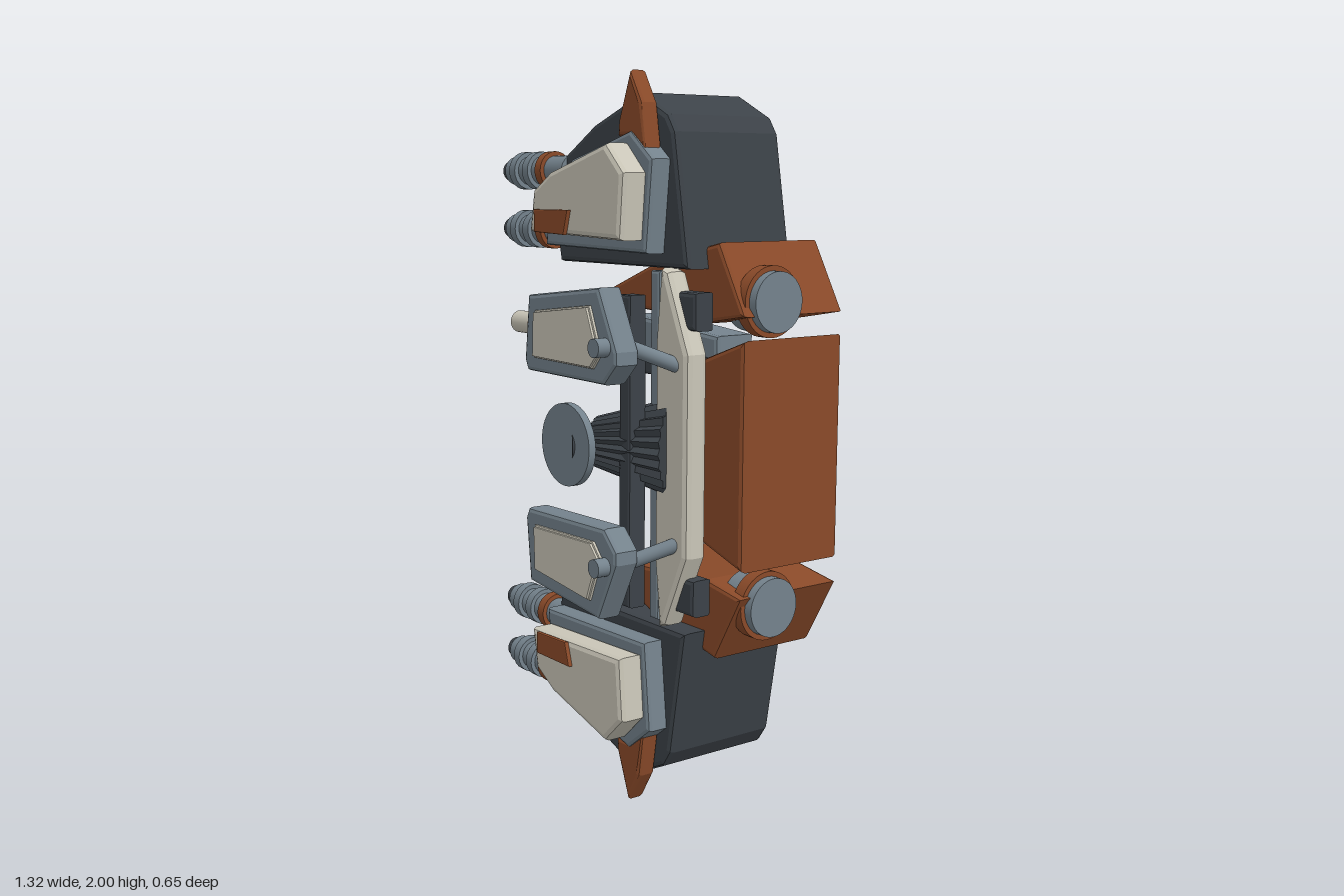
import * as THREE from 'three';

const mat = (name, color) => new THREE.MeshStandardMaterial({ name, color });

export function createModel() {
  const rust = mat('rust', 0x8a4a29);
  const dark = mat('charcoal', 0x3c4248);
  const steel = mat('steel', 0x74828c);
  const cream = mat('cream', 0xcac6b8);

  const root = new THREE.Group();
  root.name = 'mech';

  const add = (parent, name, geometry, material) => {
    const mesh = new THREE.Mesh(geometry, material);
    mesh.name = name;
    parent.add(mesh);
    return mesh;
  };

  // Bevelled plate: outline in x,y, spanning z0 to z1 (bevel stays inside the outline)
  const plate = (parent, name, material, points, z0, z1, bevel = 0.012) => {
    const shape = new THREE.Shape(points.map(([x, y]) => new THREE.Vector2(x, y)));
    const g = new THREE.ExtrudeGeometry(shape, {
      depth: z1 - z0 - 2 * bevel, bevelEnabled: bevel > 0, bevelThickness: bevel,
      bevelSize: bevel, bevelOffset: -bevel, bevelSegments: 2,
    });
    g.translate(0, 0, z0 + bevel);
    return add(parent, name, g, material);
  };

  const rect = (x0, x1, y0, y1) => [[x0, y0], [x1, y0], [x1, y1], [x0, y1]];

  // Cylinder or cone between two points
  const rod = (parent, name, material, a, b, ra, rb = ra, sides = 24) => {
    const from = new THREE.Vector3(...a), to = new THREE.Vector3(...b);
    const dir = to.clone().sub(from);
    const mesh = add(parent, name, new THREE.CylinderGeometry(rb, ra, dir.length(), sides), material);
    mesh.position.copy(from).add(to).multiplyScalar(0.5);
    mesh.quaternion.setFromUnitVectors(new THREE.Vector3(0, 1, 0), dir.normalize());
    return mesh;
  };

  // Central body and the long shield in front of it
  plate(root, 'mainBody', rust, [[0.42, 0.77], [0.645, 0.7], [0.645, 1.31], [0.42, 1.23]], -0.325, 0.02, 0.015);
  plate(root, 'longShield', cream,
    [[0.42, 0.52], [0.45, 0.53], [0.54, 0.73], [0.54, 1.27], [0.45, 1.48], [0.42, 1.49], [0.4, 1.3], [0.4, 0.7]],
    0.05, 0.12, 0.018);

  // Vertical rails joining both halves
  plate(root, 'innerRail', steel, rect(0.355, 0.395, 0.53, 1.48), 0.05, 0.1, 0.008);
  plate(root, 'outerRail', dark, rect(0.35, 0.4, 0.58, 1.42), 0.145, 0.2, 0.008);

  // Ribbed cone with a round disc
  const ribs = new THREE.CylinderGeometry(0.07, 0.135, 0.23, 48, 1);
  const p = ribs.attributes.position;
  for (let i = 0; i < p.count; i++) {
    const x = p.getX(i), z = p.getZ(i);
    const step = Math.round(Math.atan2(z, x) / (Math.PI / 24));
    const k = step % 2 ? 0.9 : 1;
    p.setXYZ(i, x * k, p.getY(i), z * k);
  }
  const ribbed = ribs.toNonIndexed();
  ribbed.computeVertexNormals();
  const cone = add(root, 'ribbedCone', ribbed, dark);
  cone.position.set(0.32, 1.01, 0.12);
  cone.quaternion.setFromUnitVectors(new THREE.Vector3(0, 1, 0), new THREE.Vector3(-0.85, 0, 0.52).normalize());
  rod(root, 'discStem', dark, [0.24, 1.005, 0.16], [0.195, 1.005, 0.25], 0.06, 0.05);
  rod(root, 'frontDisc', steel, [0.195, 1.005, 0.245], [0.195, 1.005, 0.267], 0.114, 0.114, 48);

  // Long gun
  const gun = new THREE.Group();
  gun.name = 'longGun';
  root.add(gun);
  rod(gun, 'gunSleeve', rust, [0.02, 1.26, -0.135], [-0.53, 1.26, -0.135], 0.055, 0.055, 32);
  rod(gun, 'gunTip', cream, [-0.52, 1.26, -0.135], [-0.66, 1.26, -0.135], 0.036);
  plate(gun, 'gunBreech', steel, [[-0.01, 1.22], [0.43, 1.22], [0.43, 1.3], [0.05, 1.335], [-0.01, 1.31]], -0.2, -0.07);
  plate(gun, 'gunRail', dark, [[-0.09, 1.17], [0.43, 1.17], [0.43, 1.24], [-0.02, 1.24], [-0.07, 1.22]], -0.2, -0.05);

  // Upper half, then its mirror image below
  for (const s of [1, -1]) {
    const half = new THREE.Group();
    half.name = s > 0 ? 'upperHalf' : 'lowerHalf';
    root.add(half);
    const Y = (y) => 1 + s * (y - 1);
    const P = (pts) => pts.map(([x, y]) => [x, Y(y)]);
    const V = (x, y, z) => [x, Y(y), z];

    // Arm and hinge
    plate(half, 'arm', rust,
      P([[0.045, 1.375], [0.045, 1.41], [0.28, 1.5], [0.54, 1.557], [0.645, 1.37], [0.5, 1.345]]), -0.325, 0.02);
    rod(half, 'hingePin', steel, V(0.54, 1.405, -0.087), V(0.657, 1.405, -0.087), 0.082, 0.08, 40);
    rod(half, 'hingeRing', rust, V(0.595, 1.405, -0.087), V(0.632, 1.405, -0.087), 0.094, 0.094, 40);

    // Large pod with stacked cover plates
    plate(half, 'pod', dark,
      P([[-0.09, 1.487], [0.5, 1.487], [0.44, 1.84], [0.41, 1.885], [0.29, 1.945], [0.08, 1.868], [-0.1, 1.765], [-0.125, 1.66]]),
      -0.27, 0.09, 0.015);
    plate(half, 'podFrame', steel,
      P([[-0.075, 1.535], [0.4, 1.525], [0.425, 1.77], [0.33, 1.845], [0.06, 1.775], [-0.06, 1.7]]), 0.08, 0.15);
    plate(half, 'podCover', cream,
      P([[-0.045, 1.575], [0.385, 1.56], [0.4, 1.735], [0.32, 1.812], [0.06, 1.74], [-0.025, 1.69]]), 0.14, 0.225, 0.016);
    plate(half, 'coverMark', rust,
      P([[0, 1.575], [0.145, 1.57], [0.165, 1.637], [0, 1.637]]), 0.224, 0.238, 0.003);
    plate(half, 'fin', rust,
      P([[0.32, 2], [0.372, 1.915], [0.39, 1.79], [0.33, 1.83], [0.265, 1.83], [0.268, 1.87]]), 0.09, 0.145);

    // Twin ringed barrels
    for (const y of [1.745, 1.575]) {
      const barrel = new THREE.Group();
      barrel.name = 'shortBarrel';
      half.add(barrel);
      const seg = (name, m, x0, x1, r0, r1 = r0) => rod(barrel, name, m, V(x0, y, 0.068), V(x1, y, 0.068), r0, r1);
      seg('barrelTube', steel, -0.05, -0.35, 0.042);
      seg('barrelTaper', steel, -0.35, -0.365, 0.042, 0.032);
      seg('barrelMuzzle', dark, -0.36, -0.38, 0.03);
      for (const x of [-0.292, -0.223]) seg('barrelRing', steel, x + 0.015, x - 0.015, 0.055);
      seg('barrelBand', rust, -0.14, -0.17, 0.055);
    }

    // Small shield with inset, knob and mounts
    plate(half, 'smallShield', steel,
      P([[0.02, 1.225], [0.035, 1.195], [0.4, 1.19], [0.455, 1.245], [0.455, 1.28], [0.375, 1.442], [0.04, 1.405]]),
      0.21, 0.285);
    plate(half, 'shieldInset', cream,
      P([[0.08, 1.235], [0.36, 1.23], [0.395, 1.27], [0.345, 1.395], [0.085, 1.365]]), 0.284, 0.293, 0.003);
    plate(half, 'shieldTrim', cream,
      P([[0.085, 1.24], [0.358, 1.235], [0.39, 1.27], [0.342, 1.39], [0.09, 1.36]]), 0.293, 0.301, 0.002);
    rod(half, 'shieldKnob', steel, V(0.407, 1.29, 0.22), V(0.407, 1.29, 0.323), 0.025);
    plate(half, 'shieldBar', dark, P(rect(0.07, 0.38, 1.265, 1.33)), 0.165, 0.215);
    rod(half, 'shieldStrut', steel, V(0.5, 1.23, 0.09), V(0.41, 1.29, 0.22), 0.02);
    plate(half, 'shieldClamp', dark, P(rect(0.46, 0.545, 1.33, 1.43)), 0.035, 0.098);
  }
  return root;
}
